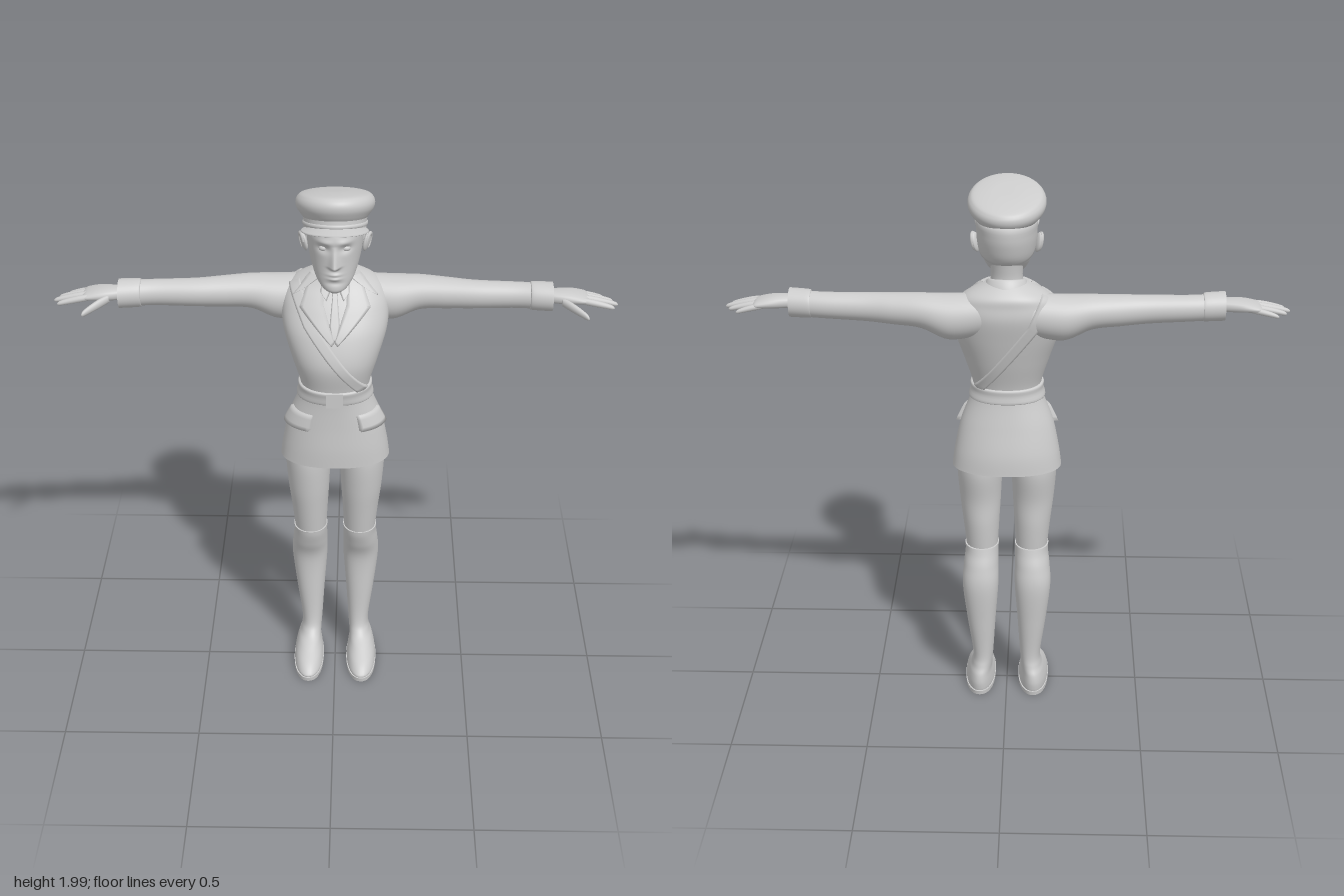
import * as THREE from 'three';

const MAT = new THREE.MeshStandardMaterial({ color: 0xcccccc });
const THIN = new THREE.MeshStandardMaterial({ color: 0xcccccc, side: THREE.DoubleSide });

// Grid of points with smooth normals; wrap joins the last column to the first
function grid(nu, rows, fn, wrap = false) {
  const pos = [], idx = [], w = wrap ? nu : nu + 1;
  for (let v = 0; v < rows; v++) for (let u = 0; u < w; u++) pos.push(...fn(u, v));
  for (let v = 0; v < rows - 1; v++) for (let u = 0; u < nu; u++) {
    const a = v * w + u, b = v * w + (u + 1) % w;
    idx.push(a, b, b + w, a, b + w, a + w);
  }
  const g = new THREE.BufferGeometry();
  g.setAttribute('position', new THREE.Float32BufferAttribute(pos, 3));
  g.setIndex(idx);
  g.computeVertexNormals();
  return g;
}

// Smooth in-between sections. A section is [along, centre, half width, front z, back z]
function refine(rings, k) {
  const out = [], last = rings.length - 1;
  for (let i = 0; i < last; i++) {
    const [p, q, r, s] = [Math.max(i - 1, 0), i, i + 1, Math.min(i + 2, last)].map(j => rings[j]);
    for (let j = 0; j < k; j++) {
      const t = j / k;
      out.push(q.map((b, n) => {
        const cubic = 3 * (b - r[n]) + s[n] - p[n];
        const square = 2 * p[n] - 5 * b + 4 * r[n] - s[n];
        return b + 0.5 * t * (r[n] - p[n] + t * (square + t * cubic));
      }));
    }
  }
  out.push(rings[last]);
  return out;
}

function section([t, c, r, f, b], a, p, alongX, off = 0) {
  const pw = x => Math.sign(x) * Math.abs(x) ** (2 / p);
  const w = (r + off) * pw(Math.sin(a)), z = (f + b) / 2 + ((f - b) / 2 + off) * pw(Math.cos(a));
  return alongX ? [t, c - w, z] : [c + w, t, z];
}

// Closed skin over the sections, with flat end caps
function loft(rings, { k = 6, n = 40, p = 2, alongX = false, bend = null } = {}) {
  const rows = refine(rings, k), dot = r => [r[0], r[1], 0, (r[3] + r[4]) / 2, (r[3] + r[4]) / 2];
  const z = rows.length - 1;
  const all = [dot(rows[0]), rows[0], ...rows, rows[z], dot(rows[z])];
  return grid(n, all.length, (u, v) => {
    const q = section(all[v], u / n * Math.PI * 2, p, alongX);
    return bend ? bend(q) : q;
  }, true);
}

function at(rows, y) {
  let i = 0;
  while (i < rows.length - 2 && rows[i + 1][0] < y) i++;
  const t = THREE.MathUtils.clamp((y - rows[i][0]) / (rows[i + 1][0] - rows[i][0]), 0, 1);
  return rows[i].map((v, n) => v + (rows[i + 1][n] - v) * t);
}

// Raised patch whose rim sinks into the body below
function slab(nu, nv, fn, off) {
  return grid(nu + 2, nv + 3, (u, v) => {
    const rim = u === 0 || v === 0 || u === nu + 2 || v === nv + 2;
    const f = (i, n) => THREE.MathUtils.clamp((i - 1) / n, 0, 1);
    return fn(f(u, nu), f(v, nv), rim ? -0.008 : off);
  });
}

function flip(g) {
  const m = g.clone().scale(-1, 1, 1), i = m.index.array;
  for (let n = 0; n < i.length; n += 3) [i[n], i[n + 1]] = [i[n + 1], i[n]];
  m.computeVertexNormals();
  return m;
}

const P = 2.2;
const JACKET = [
  [0.93, 0, 0.2, 0.12, -0.145], [1.0, 0, 0.19, 0.122, -0.14], [1.1, 0, 0.168, 0.12, -0.12],
  [1.2, 0, 0.13, 0.122, -0.1], [1.25, 0, 0.125, 0.132, -0.1], [1.35, 0, 0.155, 0.15, -0.13],
  [1.45, 0, 0.185, 0.125, -0.157], [1.53, 0, 0.19, 0.08, -0.175], [1.58, 0, 0.175, 0.045, -0.172],
  [1.615, 0, 0.14, 0.018, -0.165], [1.65, 0, 0.07, 0.0, -0.13]];
const BODY = refine(JACKET, 8);
const HEAD = [
  [1.632, 0, 0.018, 0.115, 0.06], [1.645, 0, 0.042, 0.128, 0.03], [1.67, 0, 0.064, 0.128, -0.03],
  [1.7, 0, 0.078, 0.126, -0.085], [1.74, 0, 0.09, 0.124, -0.13], [1.79, 0, 0.098, 0.125, -0.15],
  [1.83, 0, 0.1, 0.126, -0.157], [1.87, 0, 0.098, 0.11, -0.152], [1.92, 0, 0.06, 0.07, -0.1]];
const SKULL = refine(HEAD, 8);

// Strip between two polylines drawn in x, y and laid on the jacket front (side 1) or back (-1)
function drape(a, b, side, off) {
  const mid = (l, t) => {
    const s = t * (l.length - 1), i = Math.min(Math.floor(s), l.length - 2);
    return l[i].map((v, n) => v + (l[i + 1][n] - v) * (s - i));
  };
  return slab(6, 32, (u, v, o) => {
    const [x, y] = mid([mid(a, v), mid(b, v)], u), [, , r, f, bk] = at(BODY, y);
    const q = Math.min(Math.abs(x) / (r + o), 1);
    return [Math.sign(x) * q * (r + o), y, (f + bk) / 2 + side * ((f - bk) / 2 + o) * (1 - q ** P) ** (1 / P)];
  }, off);
}

// Nose, brows, eye sockets and lips
function face([x, y, z]) {
  if (z < 0.03) return [x, y, z];
  const g = (d, w) => Math.exp(-((d / w) ** 2)), ax = Math.abs(x);
  const h = y > 1.735 ? Math.max(0, (1.81 - y) / 0.075) : Math.max(0, 1 - (1.735 - y) / 0.014);
  z += 0.03 * h * g(x, 0.009 + 0.008 * h) + 0.005 * g(y - 1.823, 0.01) * g(ax - 0.035, 0.025);
  z -= 0.011 * g(ax - 0.038, 0.02) * g(y - 1.797, 0.014);
  z += 0.006 * g(x, 0.022) * (g(y - 1.706, 0.006) + g(y - 1.691, 0.006)) - 0.004 * g(x, 0.03) * g(y - 1.674, 0.008);
  return [x, y, z];
}

export function createModel() {
  const root = new THREE.Group();
  const add = (name, g, mat = MAT, parent = root) => {
    const m = new THREE.Mesh(g, mat);
    m.name = name;
    parent.add(m);
    return m;
  };
  const pair = (name, g, mat = MAT) => { add(name + 'Left', g, mat); add(name + 'Right', flip(g), mat); };

  // Jacket, belt and buckle
  add('jacket', loft(JACKET, { n: 64, p: P, k: 8 }));
  const belt = [1.195, 1.2, 1.225, 1.245, 1.25].map((y, i) => {
    const [, , r, f, b] = at(BODY, y), o = i % 4 ? 0.009 : 0.001;
    return [y, 0, r + o, f + o, b - o];
  });
  add('belt', loft(belt, { n: 64, p: P, k: 3 }));
  add('buckle', new THREE.BoxGeometry(0.06, 0.054, 0.014).translate(0, 1.223, 0.138));

  // Hip pocket flaps
  pair('pocketFlap', slab(14, 4, (u, v, o) => {
    const y = 1.085 + 0.06 * v;
    return section(at(BODY, y), 0.5 + 0.95 * u, P, false, o > 0 ? o + 0.008 * (1 - v) : o);
  }, 0.009), THIN);

  // Shoulder strap, front and back
  for (const side of [1, -1])
    add(side > 0 ? 'strapFront' : 'strapBack', drape([[-0.165, 1.6], [-0.11, 1.49], [0.085, 1.24]], [[-0.125, 1.62], [-0.075, 1.51], [0.118, 1.25]], side, 0.008), THIN);

  // Lapels, shirt collar points and tie
  pair('lapel', drape([[0.045, 1.645], [0.04, 1.56], [0.0, 1.45]], [[0.09, 1.638], [0.125, 1.55], [0.01, 1.437]], 1, 0.009), THIN);
  pair('collarFlap', drape([[0.045, 1.648], [0.1, 1.61]], [[0.09, 1.645], [0.15, 1.58]], 1, 0.012), THIN);
  pair('shirtPoint', drape([[0.005, 1.625], [0.03, 1.575]], [[0.05, 1.645], [0.05, 1.6]], 1, 0.012), THIN);
  add('tie', drape([[-0.014, 1.62], [-0.009, 1.585], [-0.018, 1.5], [-0.006, 1.455]], [[0.014, 1.62], [0.009, 1.585], [0.018, 1.5], [0.006, 1.455]], 1, 0.008), THIN);
  const collar = add('collar', loft([[-0.03, 0, 0.085, 0.075, -0.085], [0.0, 0, 0.078, 0.066, -0.078], [0.022, 0, 0.068, 0.06, -0.068], [0.024, 0, 0.06, 0.055, -0.06]], { k: 4 }));
  collar.position.set(0, 1.632, -0.058);
  collar.rotation.x = 0.25;

  // Sleeves and cuffs
  pair('sleeve', loft([
    [0.08, 1.54, 0.075, -0.02, -0.165], [0.2, 1.528, 0.082, -0.01, -0.17], [0.3, 1.548, 0.062, -0.02, -0.153],
    [0.4, 1.55, 0.056, -0.018, -0.132], [0.5, 1.551, 0.051, -0.013, -0.112], [0.65, 1.553, 0.047, -0.01, -0.1],
    [0.76, 1.555, 0.047, 0.012, -0.085]], { alongX: true }));
  pair('cuff', loft([[0.69, 1.554, 0.047, 0.0, -0.094], [0.7, 1.555, 0.051, 0.006, -0.097], [0.768, 1.556, 0.052, 0.018, -0.091]], { alongX: true }));

  // Hands: palm, thumb and four fingers
  pair('palm', loft([[0.75, 1.56, 0.022, -0.005, -0.065], [0.8, 1.56, 0.023, 0.008, -0.076], [0.84, 1.559, 0.02, 0.014, -0.085],
    [0.88, 1.555, 0.014, 0.013, -0.087], [0.895, 1.553, 0.007, 0.006, -0.08]], { alongX: true, n: 24, p: 2.4 }));
  const digit = (name, x0, x1, y0, y1, z0, z1, r) => pair(name, loft([[0, 0.9], [0.35, 1], [0.7, 0.85], [0.93, 0.6], [1, 0.08]].map(([t, s]) => {
    const z = z0 + (z1 - z0) * t;
    return [x0 + (x1 - x0) * t, y0 + (y1 - y0) * t - 0.008 * t * t, r * s, z + r * s, z - r * s];
  }), { alongX: true, n: 14, k: 4 }));
  digit('indexFinger', 0.86, 0.985, 1.557, 1.541, -0.002, 0.008, 0.0125);
  digit('middleFinger', 0.86, 1.0, 1.558, 1.541, -0.026, -0.022, 0.013);
  digit('ringFinger', 0.86, 0.985, 1.556, 1.541, -0.05, -0.052, 0.012);
  digit('littleFinger', 0.86, 0.955, 1.553, 1.54, -0.073, -0.083, 0.011);
  digit('thumb', 0.8, 0.89, 1.552, 1.532, -0.002, 0.078, 0.017);

  // Legs and boots
  pair('thigh', loft([[0.58, 0.092, 0.057, 0.045, -0.09], [0.7, 0.095, 0.067, 0.065, -0.1], [0.8, 0.098, 0.076, 0.08, -0.102],
    [0.92, 0.1, 0.083, 0.09, -0.12], [1.02, 0.1, 0.08, 0.08, -0.11]]));
  pair('boot', loft([
    [0.012, 0.102, 0.054, 0.175, -0.133], [0.025, 0.102, 0.056, 0.176, -0.136], [0.05, 0.102, 0.052, 0.145, -0.138], [0.08, 0.1, 0.044, 0.08, -0.133],
    [0.11, 0.094, 0.039, 0.025, -0.12], [0.16, 0.09, 0.039, 0.0, -0.113], [0.3, 0.095, 0.053, -0.004, -0.125],
    [0.45, 0.098, 0.067, 0.0, -0.137], [0.53, 0.096, 0.065, 0.03, -0.125], [0.58, 0.093, 0.062, 0.048, -0.108],
    [0.608, 0.093, 0.063, 0.054, -0.1]], { p: 2.15 }));
  pair('sole', loft([[0, 0.102, 0.057, 0.18, -0.138], [0.016, 0.102, 0.058, 0.182, -0.14]], { p: 2.25, k: 2 }));

  // Neck, head, hair, ears and eyes
  add('neck', loft([[1.57, 0, 0.07, 0.015, -0.13], [1.65, 0, 0.057, 0.012, -0.108], [1.71, 0, 0.058, 0.022, -0.112], [1.77, 0, 0.065, 0.03, -0.125]]));
  add('head', loft(HEAD, { n: 128, k: 12, bend: face }));
  add('hair', slab(36, 12, (u, v, o) => {
    const a = 1.5 + u * (2 * Math.PI - 3), y = 1.725 + 0.05 * Math.abs(2 * u - 1) ** 3;
    return section(at(SKULL, y + (1.87 - y) * v), a, 2, false, o);
  }, 0.007), THIN);
  pair('ear', new THREE.SphereGeometry(1, 20, 14).scale(0.01, 0.036, 0.023).rotateY(-0.4).rotateZ(-0.2).translate(0.109, 1.775, -0.008));
  pair('earRim', new THREE.TorusGeometry(0.02, 0.006, 8, 24, 4.6).scale(0.85, 1.4, 1).rotateY(-Math.PI / 2 - 0.4).rotateZ(-0.2).translate(0.115, 1.778, -0.008));
  pair('eye', new THREE.SphereGeometry(0.014, 18, 12).scale(1.2, 0.8, 1).translate(0.038, 1.796, 0.097));

  // Peaked cap, tilted back
  const cap = new THREE.Group();
  cap.name = 'cap';
  cap.position.set(0, 1.885, 0);
  cap.rotation.x = -0.25;
  root.add(cap);
  const round = l => l.map(([y, x, z]) => [y, 0, x, z, -z]);
  add('capBand', loft(round([[-0.05, 0.108, 0.126], [-0.02, 0.11, 0.128], [0.012, 0.112, 0.132]]), { n: 56 }), MAT, cap);
  add('capCrown', loft(round([[-0.012, 0.111, 0.13], [0.0, 0.12, 0.142], [0.02, 0.133, 0.157], [0.04, 0.137, 0.162], [0.058, 0.13, 0.155], [0.07, 0.112, 0.134], [0.078, 0.06, 0.07], [0.079, 0.005, 0.006]]), { n: 56 }), MAT, cap);
  add('capCord', loft(round([[-0.04, 0.108, 0.126], [-0.037, 0.113, 0.132], [-0.028, 0.113, 0.132], [-0.025, 0.109, 0.126]]), { n: 56, k: 2 }), MAT, cap);
  add('visor', grid(32, 13, (u, v) => {
    const a = (u / 32 - 0.5) * 2.7, t = v < 7 ? v / 6 : (12 - v) / 6;
    const reach = 0.058 * t * Math.max(0, 1 - (a / 1.35) ** 2) ** 0.6;
    return [(0.107 + reach * 0.8) * Math.sin(a), -0.036 - 0.35 * reach - 0.012 * (1 - Math.cos(a)) - (v < 7 ? 0 : 0.006), (0.125 + reach) * Math.cos(a)];
  }), THIN, cap);
  return root;
}
